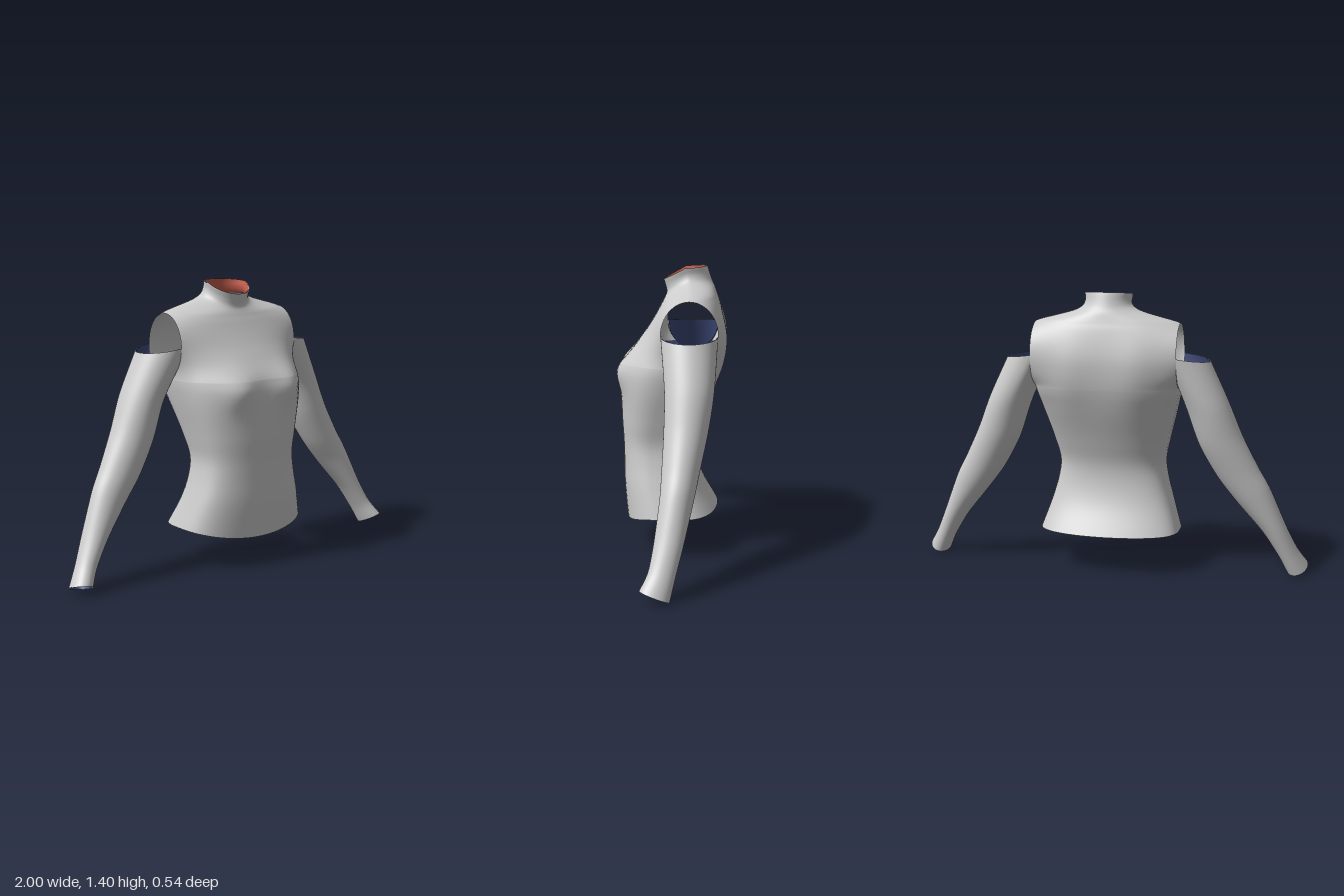
import * as THREE from 'three';
import { mergeVertices } from 'three/addons/utils/BufferGeometryUtils.js';

const V = (x, y, z) => new THREE.Vector3(x, y, z);
const { smoothstep, lerp } = THREE.MathUtils;
const ARC = 32;                            // segments across the front or the back
const LOWER = 28, HOLE = 24, UPPER = 18;   // rows below, along and above the armholes
const AROUND = HOLE * 2;                   // segments around a sleeve
const INSET = 0.004;                       // gap between cloth and lining

// Armhole: an upright ellipse in the plane x = ±ARM.x
const ARM = { x: 0.36, y: 1.095, z: -0.09, ry: 0.16, rz: 0.135 };

// Torso sections: y, half width, z of front, side and back
const TORSO = [
  [0.2, 0.355, 0.23, 0, -0.227],
  [0.34, 0.31, 0.245, 0.04, -0.15],
  [0.45, 0.28, 0.247, 0.05, -0.12],
  [0.54, 0.268, 0.25, 0.05, -0.12],
  [0.65, 0.29, 0.257, 0.03, -0.153],
  [0.85, 0.342, 0.257, -0.04, -0.226],
  [0.935, 0.36, 0.24, -0.09, -0.25],
  [1.04, 0.36, 0.168, -0.09, -0.262],
  [1.1, 0.36, 0.125, -0.09, -0.26],
  [1.225, 0.36, 0.055, -0.09, -0.233],
  [1.255, 0.36, 0.045, -0.09, -0.222],
  [1.285, 0.255, 0.037, -0.09, -0.212],
  [1.305, 0.18, 0.033, -0.085, -0.205],
  [1.325, 0.135, 0.032, -0.08, -0.195],
  [1.355, 0.115, 0.037, -0.07, -0.182],
  [1.392, 0.118, 0.047, -0.06, -0.168],
];

// Sleeve sections: inner x/y, outer x/y, z front/back, tilt
const SLEEVE = [
  [0.4, 0.83, 0.6, 0.88, 0.02, -0.21, 0],
  [0.46, 0.66, 0.67, 0.71, 0.02, -0.185, 0],
  [0.55, 0.5, 0.75, 0.55, 0.025, -0.15, 0],
  [0.65, 0.37, 0.805, 0.45, 0.03, -0.125, 0],
  [0.77, 0.225, 0.885, 0.26, 0.05, -0.085, 0],
  [0.85, 0.1, 0.943, 0.135, 0.072, -0.05, 0.01],
  [0.892, 0.018, 0.998, 0.045, 0.108, -0.025, 0.026],
];

// Skins rows of points; the column at gap stays unjoined to the next one.
function skin(rows, flip = false, gap = -1) {
  const n = rows[0].length, index = [];
  for (let r = 0; r < rows.length - 1; r++) {
    for (let c = 0; c < n - 1; c++) {
      if (c === gap) continue;
      const a = r * n + c, b = a + 1, d = a + n, e = d + 1;
      index.push(...(flip ? [a, e, b, a, d, e] : [a, b, e, a, e, d]));
    }
  }
  const sheet = new THREE.BufferGeometry().setFromPoints(rows.flat());
  sheet.setIndex(index);
  const geometry = mergeVertices(sheet, 1e-4);
  geometry.computeVertexNormals();
  return geometry;
}

// A skin facing inwards, moved a little way in along its normals
function liningOf(rows, flip, gap) {
  const geometry = skin(rows, flip, gap);
  const { position, normal } = geometry.attributes, p = V(), n = V();
  for (let i = 0; i < position.count; i++) {
    p.fromBufferAttribute(position, i).addScaledVector(n.fromBufferAttribute(normal, i), INSET);
    position.setXYZ(i, p.x, p.y, p.z);
  }
  return geometry;
}

// Soft swelling on both sides of the body
const bump = (x, y, cy, sx, sy) =>
  Math.exp(-(((Math.abs(x) - 0.165) / sx) ** 2) - ((y - cy) / sy) ** 2);

function torsoRows() {
  const sections = new THREE.CubicInterpolant(TORSO.map(s => s[0]), TORSO.flatMap(s => s.slice(1)), 4, []);
  const bottom = ARM.y - ARM.ry, top = ARM.y + ARM.ry, heights = [];
  for (let i = 0; i < LOWER; i++) heights.push(lerp(0.2, bottom, i / LOWER));
  for (let i = 0; i < HOLE; i++) heights.push(ARM.y - ARM.ry * Math.cos((i / HOLE) * Math.PI));
  for (let i = 0; i <= UPPER; i++) heights.push(lerp(top, 1.392, i / UPPER));

  return heights.map(h => {
    const [width, zFront, zSide, zBack] = sections.evaluate(h);
    const w = Math.min(width, ARM.x);
    const open = ARM.rz * Math.sqrt(Math.max(0, 1 - ((h - ARM.y) / ARM.ry) ** 2));
    const power = lerp(0.31, 0.5, smoothstep(h, 0.9, 1.15));
    // The hem and the collar dip in front; the collar rises behind
    const hemDip = 0.052 * (1 - smoothstep(h, 0.2, 0.4));
    const neckDip = 0.055 * smoothstep(h, 1.2, 1.37);
    const rise = 0.01 * smoothstep(h, 1.33, 1.39);
    const row = [];
    for (const dir of [1, -1]) {
      const depth = (dir > 0 ? zFront : zBack) - zSide;
      // The rounded section is cut off where it is as deep as the armhole
      const cut = 1 - (open / Math.abs(depth)) ** (1 / power);
      for (let i = 0; i <= ARC; i++) {
        const t = (i / ARC - 0.5) * Math.PI;
        const s = Math.sin(t), c = Math.cos(t);
        const x = dir * w * s;
        const y = h + (dir > 0 ? -hemDip * c * c - neckDip * c : rise * c);
        const k = Math.max(0, 1 - s * s * cut) ** power;
        const swell = dir > 0 ? 0.042 * bump(x, y, 0.9, 0.09, 0.09) : -0.014 * bump(x, y, 1, 0.09, 0.18);
        row.push(V(x, y, zSide + depth * k + swell * c ** 0.6));
      }
    }
    return row;
  });
}

function sleeveRows(side) {
  const angles = Array.from({ length: AROUND + 1 }, (_, i) => ((i % AROUND) / AROUND) * Math.PI * 2);
  // The top ring follows the lower armhole, then the open edge over the arm
  const top = angles.map(a => {
    const c = Math.cos(a), out = Math.max(0, -c);
    return V(ARM.x + 0.148 * out, ARM.y - ARM.ry * Math.max(0, c) - 0.02 * out, ARM.z + ARM.rz * Math.sin(a));
  });
  const rings = [top, ...SLEEVE.map(([ix, iy, ox, oy, zF, zB, tilt]) => angles.map(a => {
    const u = (1 - Math.cos(a)) / 2, s = Math.sin(a);
    return V(lerp(ix, ox, u), lerp(iy, oy, u) + tilt * s, lerp(zB, zF, (1 + s) / 2));
  }))];
  const columns = angles.map((_, c) =>
    new THREE.CatmullRomCurve3(rings.map(r => r[c]), false, 'catmullrom', 0.4).getPoints(SLEEVE.length * 5));
  return columns[0].map((_, r) => columns.map(({ [r]: p }) => V(p.x * side, p.y, p.z)));
}

export function createModel() {
  const group = new THREE.Group();
  const mat = color => new THREE.MeshStandardMaterial({ color, side: THREE.DoubleSide });
  const cloth = mat(0xcccccc), lining = mat(0x3d4a78), collarRed = mat(0xc8604f);
  const add = (name, geometry, material) => {
    const mesh = new THREE.Mesh(geometry, material);
    mesh.name = name;
    group.add(mesh);
  };

  // Bodice with open armholes and a stand collar
  const torso = torsoRows();
  add('bodice', skin(torso, false, ARC), cloth);

  // Linings of the lower bodice and the collar; the yoke is unlined
  add('bodiceLining', liningOf(torso.slice(0, LOWER + 7), true, ARC), lining);
  add('collarLining', liningOf(torso.slice(LOWER + HOLE + 10), true, ARC), collarRed);

  // Sleeves, open at the shoulder and the cuff
  for (const [name, side] of [['left', 1], ['right', -1]]) {
    const rows = sleeveRows(side);
    add(name + 'Sleeve', skin(rows, side > 0), cloth);
    add(name + 'SleeveLining', liningOf(rows, side < 0), lining);
  }
  return group;
}
